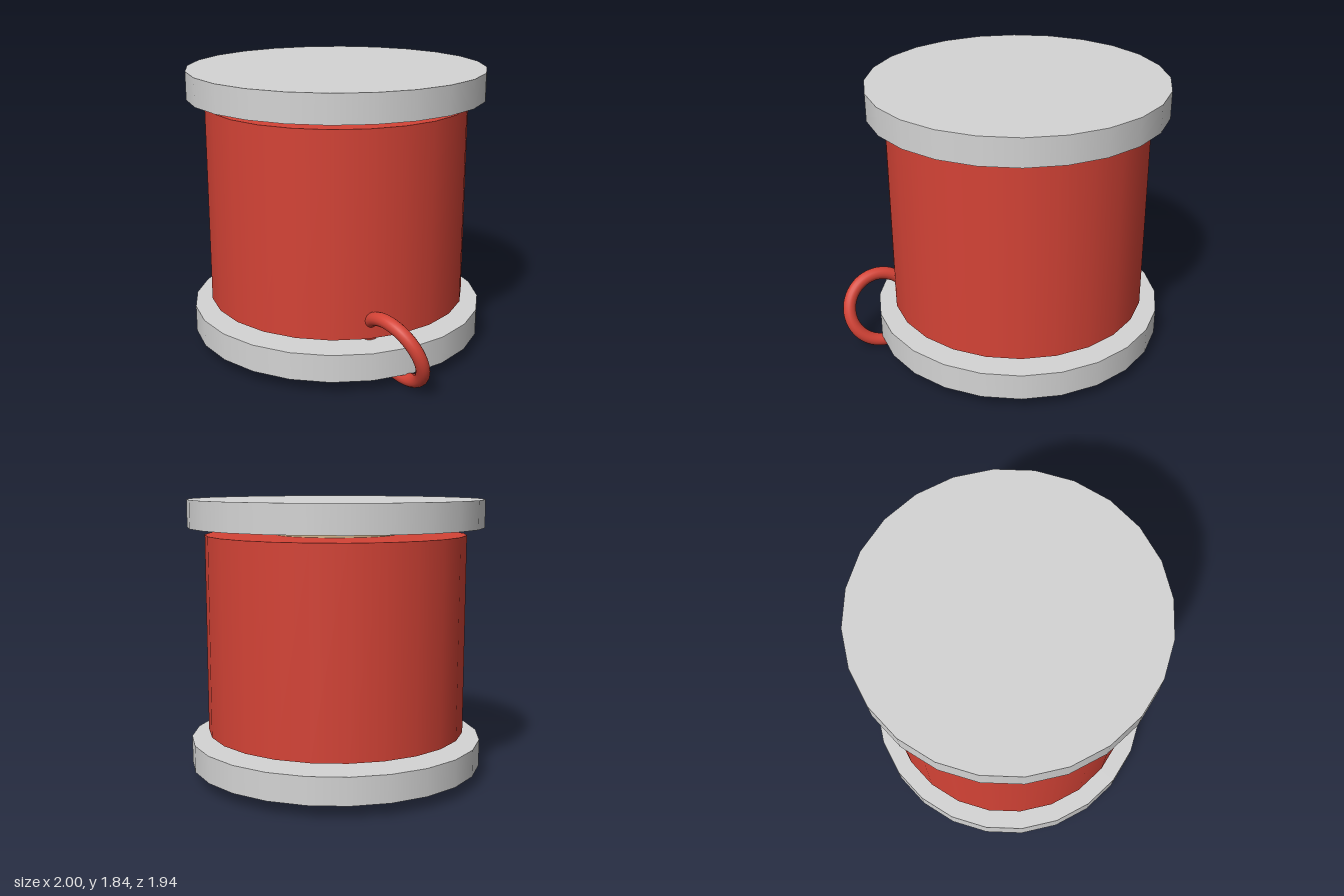
import * as THREE from 'three';

export function createModel() {
  const model = new THREE.Group();
  model.name = 'threadSpool';

  const material = (name, color) => {
    const m = new THREE.MeshStandardMaterial({ color });
    m.name = name;
    return m;
  };
  const grey = material('light grey', 0xd4d4d4);
  const red = material('thread red', 0xd44336);
  const tan = material('core tan', 0xd2b48c);

  const axisX = -0.03;

  // Upright cylinder on the spool axis, from y0 to y1
  const disc = (name, radius, y0, y1, mat) => {
    const mesh = new THREE.Mesh(new THREE.CylinderGeometry(radius, radius, y1 - y0, 24), mat);
    mesh.name = name;
    mesh.position.set(axisX, (y0 + y1) / 2, 0);
    model.add(mesh);
  };

  disc('bottomFlange', 0.97, 0.083, 0.261, grey);
  disc('topFlange', 0.97, 1.662, 1.842, grey);
  disc('core', 0.406, 0.261, 1.662, tan);
  disc('threadWinding', 0.857, 0.307, 1.613, red);

  // Loose loop of thread, tilted and passing through winding and flange
  const loop = new THREE.Mesh(new THREE.TorusGeometry(0.23, 0.043, 16, 64), red);
  loop.name = 'threadLoop';
  loop.position.set(0.737, 0.257, 0.562);
  loop.rotation.set(0.4, -0.3, 0);
  model.add(loop);

  return model;
}
